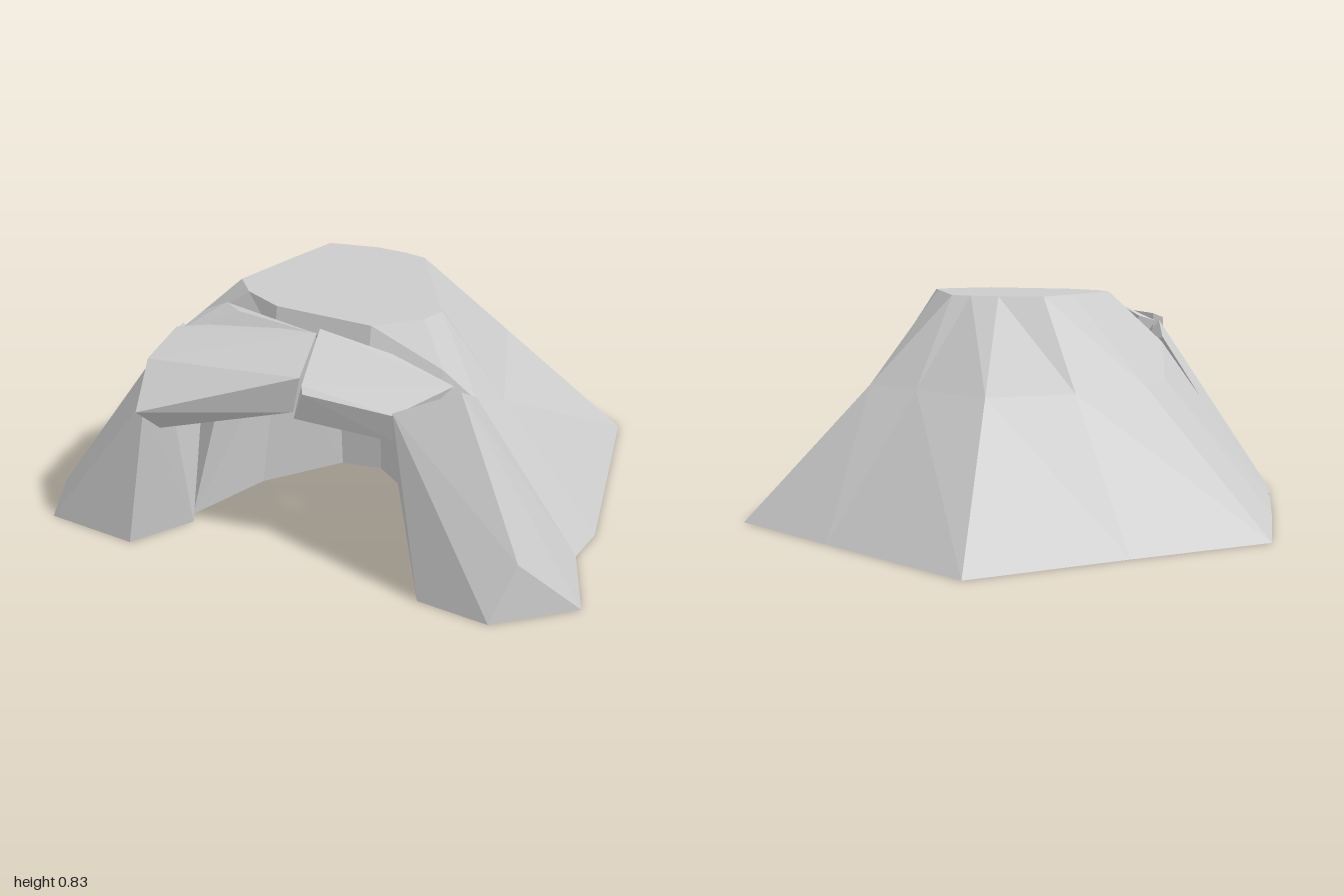
import * as THREE from 'three';
import { ConvexGeometry } from 'three/addons/geometries/ConvexGeometry.js';

const material = new THREE.MeshStandardMaterial({ color: 0xcccccc, flatShading: true });
const vec = (p) => new THREE.Vector3(...p);

// Triangle list that skips collapsed faces
function faceList() {
  const pos = [];
  const tri = (a, b, c) => {
    const n = vec(b).sub(vec(a)).cross(vec(c).sub(vec(a)));
    if (n.length() > 1e-7) pos.push(...a, ...b, ...c);
    return n;
  };
  // Joins an upper row to a lower row, left to right as seen from outside
  const strip = (a, b) => {
    for (let i = 0; i < a.length - 1; i++) {
      tri(a[i], b[i], b[i + 1]);
      tri(a[i], b[i + 1], a[i + 1]);
    }
  };
  const build = () => {
    const g = new THREE.BufferGeometry();
    g.setAttribute('position', new THREE.Float32BufferAttribute(pos, 3));
    g.computeVertexNormals();
    return g;
  };
  return { tri, strip, build };
}

function moundGeometry() {
  const { tri, strip, build } = faceList();
  const ground = ([x, z]) => [x, 0, z];

  // Outer slope: right front corner, round the back, to the left front corner
  const base = [[0.93, 0.5], [0.97, 0.36], [0.93, -0.37], [0.51, -0.62], [-0.07, -0.96],
    [-0.55, -0.58], [-1, -0.24], [-0.98, 0.23], [-0.96, 0.54]].map(ground);
  const rim = [[0.41, 0.43], [0.39, 0.39], [0.24, 0.06], [0.16, 0.04], [0.05, 0.03],
    [-0.12, 0.05], [-0.2, 0.2], [-0.27, 0.34], [-0.31, 0.42]].map(([x, z]) => [x, 0.83, z]);
  const middle = base.map((p, i) => vec(p).lerp(vec(rim[i]), 0.6).toArray());

  // Front: rim, brow and mouth of the cave
  const frontRim = [rim.at(-1), [-0.25, 0.83, 0.5], [-0.12, 0.83, 0.57],
    [0.22, 0.83, 0.6], [0.37, 0.83, 0.5], rim[0]];
  const brow = [[-0.52, 0.63, 0.46], [-0.36, 0.74, 0.5], [-0.12, 0.72, 0.6],
    [0.22, 0.72, 0.63], [0.45, 0.68, 0.55], [0.56, 0.56, 0.51]];
  const mouth = [[-0.42, 0, 0.7], [-0.3, 0.56, 0.62], [-0.1, 0.62, 0.62],
    [0.2, 0.62, 0.64], [0.35, 0.58, 0.62], [0.46, 0, 0.7]];
  middle[0] = brow.at(-1);
  middle[middle.length - 1] = brow[0];

  // Cave interior: end of the ceiling and foot of the back wall
  const inner = [[-0.26, 0, 0.43], [-0.19, 0.56, 0.41], [-0.02, 0.6, 0.26],
    [0.13, 0.6, 0.25], [0.31, 0.56, 0.4], [0.37, 0, 0.41]];
  const foot = [inner[0], inner[0], [-0.02, 0, 0.22], [0.13, 0, 0.21], inner[5], inner[5]];

  strip(rim, middle);
  strip(middle, base);
  strip(frontRim, brow);
  strip(brow, mouth);
  strip(mouth, inner);
  strip(inner, foot);
  tri(brow[0], base.at(-1), mouth[0]);
  tri(brow[5], mouth[5], base[0]);

  // Flat summit
  const summit = [...frontRim, ...rim.slice(1, -1)];
  const centre = [0.05, 0.83, 0.35];
  summit.forEach((p, i) => tri(centre, p, summit[(i + 1) % summit.length]));

  // Underside with the cave notch
  const outline = [...base, mouth[0], inner[0], foot[2], foot[3], inner[5], mouth[5]];
  const flat = outline.map(([x, , z]) => new THREE.Vector2(x, z));
  for (const [a, b, c] of THREE.ShapeUtils.triangulateShape(flat, [])) {
    const [p, q, r] = [outline[a], outline[b], outline[c]];
    const up = (q[2] - p[2]) * (r[0] - p[0]) - (q[0] - p[0]) * (r[2] - p[2]) > 0;
    if (up) tri(p, r, q);
    else tri(p, q, r);
  }
  return build();
}

// Faceted boulders, each given by its corners
const rocks = {
  rightPillar: [[1, 0, 0.77], [0.93, 0, 0.5], [0.73, 0, 0.94], [0.48, 0, 0.9], [0.42, 0, 0.62],
    [0.8, 0.2, 0.86], [0.56, 0.72, 0.73], [0.36, 0.65, 0.81], [0.36, 0.5, 0.8],
    [0.56, 0.58, 0.52], [0.42, 0.55, 0.6]],
  leftPillar: [[-0.96, 0, 0.65], [-0.93, 0, 0.55], [-0.89, 0, 0.87], [-0.56, 0, 0.92],
    [-0.4, 0, 0.74], [-0.48, 0.57, 0.87], [-0.48, 0.7, 0.68], [-0.52, 0.65, 0.47],
    [-0.38, 0.55, 0.62], [-0.42, 0.55, 0.8]],
  leftLintel: [[-0.48, 0.7, 0.82], [-0.47, 0.57, 0.95], [-0.43, 0.47, 0.87], [-0.46, 0.73, 0.64],
    [0.05, 0.8, 0.65], [0.05, 0.72, 0.81], [0.02, 0.58, 0.8], [0.02, 0.6, 0.65],
    [-0.28, 0.47, 0.68], [-0.25, 0.76, 0.6]],
  rightLintel: [[0.05, 0.8, 0.62], [0.06, 0.7, 0.82], [0.07, 0.68, 0.84], [0.03, 0.57, 0.82],
    [0.36, 0.64, 0.81], [0.36, 0.53, 0.79], [0.52, 0.7, 0.67], [0.3, 0.75, 0.62],
    [0.03, 0.58, 0.64], [0.4, 0.56, 0.64]],
  browStone: [[-0.42, 0.73, 0.5], [-0.33, 0.78, 0.51], [-0.25, 0.8, 0.59], [-0.47, 0.7, 0.64],
    [0.05, 0.79, 0.64], [0, 0.68, 0.58], [-0.4, 0.58, 0.55], [-0.2, 0.62, 0.66]],
};

export function createModel() {
  const model = new THREE.Group();
  model.name = 'rockyCave';
  const add = (name, geometry) => {
    const mesh = new THREE.Mesh(geometry, material);
    mesh.name = name;
    model.add(mesh);
  };
  add('mound', moundGeometry());
  for (const [name, corners] of Object.entries(rocks)) {
    add(name, new ConvexGeometry(corners.map(vec)));
  }
  return model;
}
